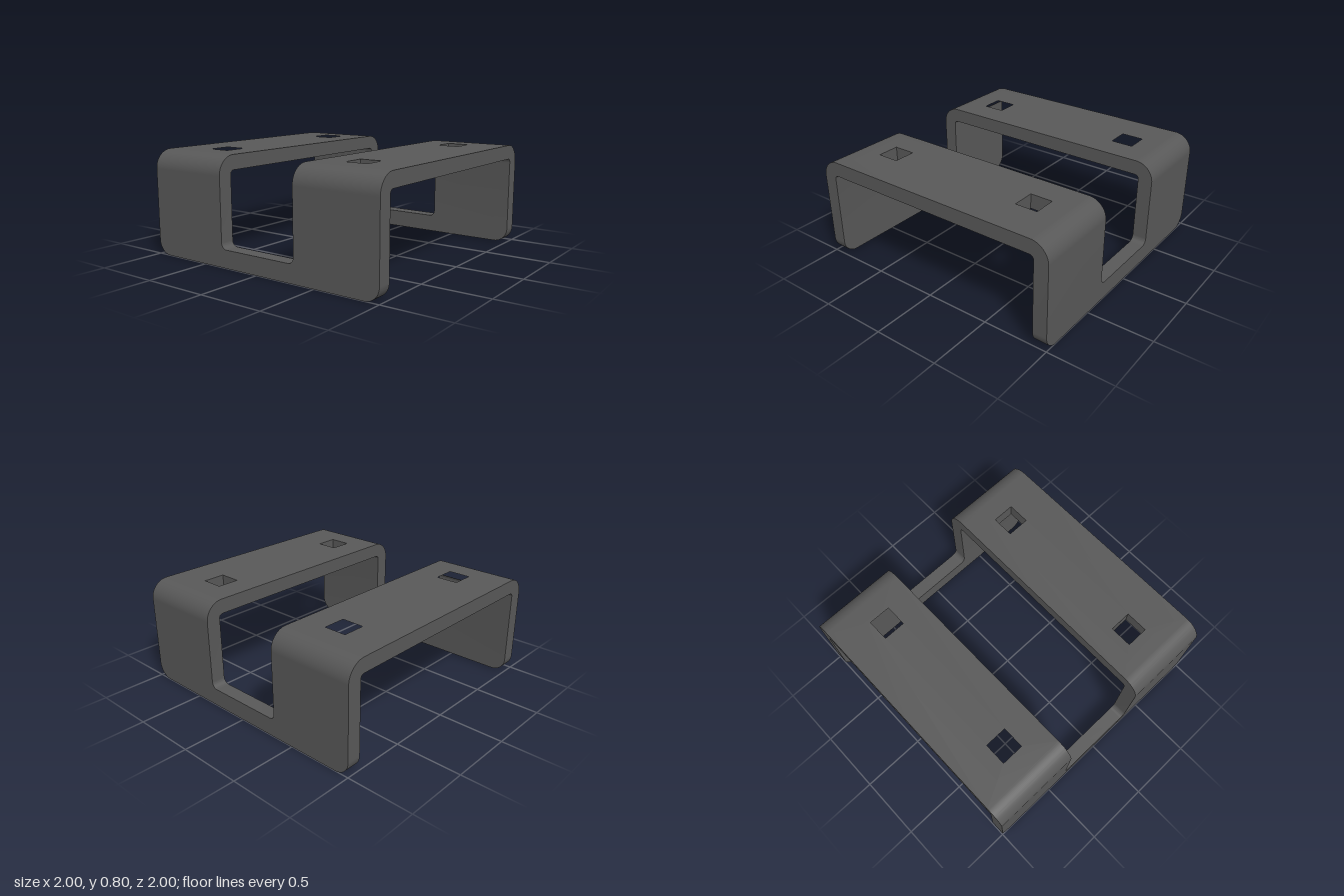
import * as THREE from 'three';
import { mergeGeometries, toCreasedNormals } from 'three/addons/utils/BufferGeometryUtils.js';

const H = 0.795, T = 0.11;            // height and sheet thickness
const R_OUT = 0.14, R_IN = R_OUT - T; // bend radii
const BEND_X = 1 - R_OUT, BEND_Y = H - R_OUT;
const SLOT = 0.33, SLOT_Y = 0.135, SLOT_R = 0.045; // central cutout
const FOOT_R = 0.11;
const HOLE = 0.17, HOLE_POS = 0.627;

const extrude = (shape, depth) =>
  new THREE.ExtrudeGeometry(shape, { depth, bevelEnabled: false, curveSegments: 12 });

// Removes the faces lying in the joint plane axis = value, so joined pieces form one skin
function openJoint(geo, axis, value) {
  const p = geo.attributes.position, kept = [];
  for (let i = 0; i < p.count; i += 3) {
    const onPlane = [0, 1, 2].every(k => Math.abs(p.getComponent(i + k, axis) - value) < 1e-4);
    if (onPlane) continue;
    for (let k = 0; k < 3; k++) kept.push(p.getX(i + k), p.getY(i + k), p.getZ(i + k));
  }
  const out = new THREE.BufferGeometry();
  out.setAttribute('position', new THREE.Float32BufferAttribute(kept, 3));
  return out;
}

// U-shaped side wall with rounded feet corners and rounded slot floor
function sideWall(side) {
  const s = new THREE.Shape();
  s.moveTo(-1, BEND_Y);
  s.lineTo(-1, FOOT_R);
  s.absarc(-1 + FOOT_R, FOOT_R, FOOT_R, Math.PI, Math.PI * 1.5);
  s.absarc(1 - FOOT_R, FOOT_R, FOOT_R, -Math.PI / 2, 0);
  s.lineTo(1, BEND_Y);
  s.lineTo(SLOT, BEND_Y);
  s.absarc(SLOT - SLOT_R, SLOT_Y + SLOT_R, SLOT_R, 0, -Math.PI / 2, true);
  s.absarc(-SLOT + SLOT_R, SLOT_Y + SLOT_R, SLOT_R, -Math.PI / 2, -Math.PI, true);
  s.lineTo(-SLOT, BEND_Y);
  const g = extrude(s, T).rotateY(-Math.PI / 2).translate(side > 0 ? 1 : -1 + T, 0, 0);
  return openJoint(g, 1, BEND_Y);
}

// Flat top strip with two square holes
function topStrip(end) {
  const near = end * SLOT, far = end;
  const s = new THREE.Shape([[-BEND_X, near], [BEND_X, near], [BEND_X, far], [-BEND_X, far]]
    .map(([x, z]) => new THREE.Vector2(x, z)));
  const h = HOLE / 2, cz = end * HOLE_POS;
  for (const cx of [-HOLE_POS, HOLE_POS]) {
    s.holes.push(new THREE.Path([[-h, -h], [-h, h], [h, h], [h, -h]]
      .map(([x, z]) => new THREE.Vector2(cx + x, cz + z))));
  }
  const g = extrude(s, T).rotateX(Math.PI / 2).translate(0, H, 0);
  return openJoint(openJoint(g, 0, BEND_X), 0, -BEND_X);
}

// Quarter bend joining a strip to a wall
function bend(side, end) {
  const a = side > 0 ? 0 : Math.PI / 2, b = a + Math.PI / 2, cx = side * BEND_X;
  const s = new THREE.Shape();
  s.absarc(cx, BEND_Y, R_OUT, a, b);
  s.absarc(cx, BEND_Y, R_IN, b, a, true);
  const g = extrude(s, 1 - SLOT).translate(0, 0, end > 0 ? SLOT : -1);
  return openJoint(openJoint(g, 0, cx), 1, BEND_Y);
}

export function createModel() {
  const pieces = [];
  for (const i of [-1, 1]) {
    pieces.push(sideWall(i), topStrip(i));
    for (const end of [-1, 1]) pieces.push(bend(i, end));
  }
  const bracket = new THREE.Mesh(
    toCreasedNormals(mergeGeometries(pieces), 0.6),
    new THREE.MeshStandardMaterial({ color: 0x585858 }));
  bracket.name = 'bentSheetBracket';

  const model = new THREE.Group();
  model.name = 'mountingBracket';
  model.add(bracket);
  return model;
}
